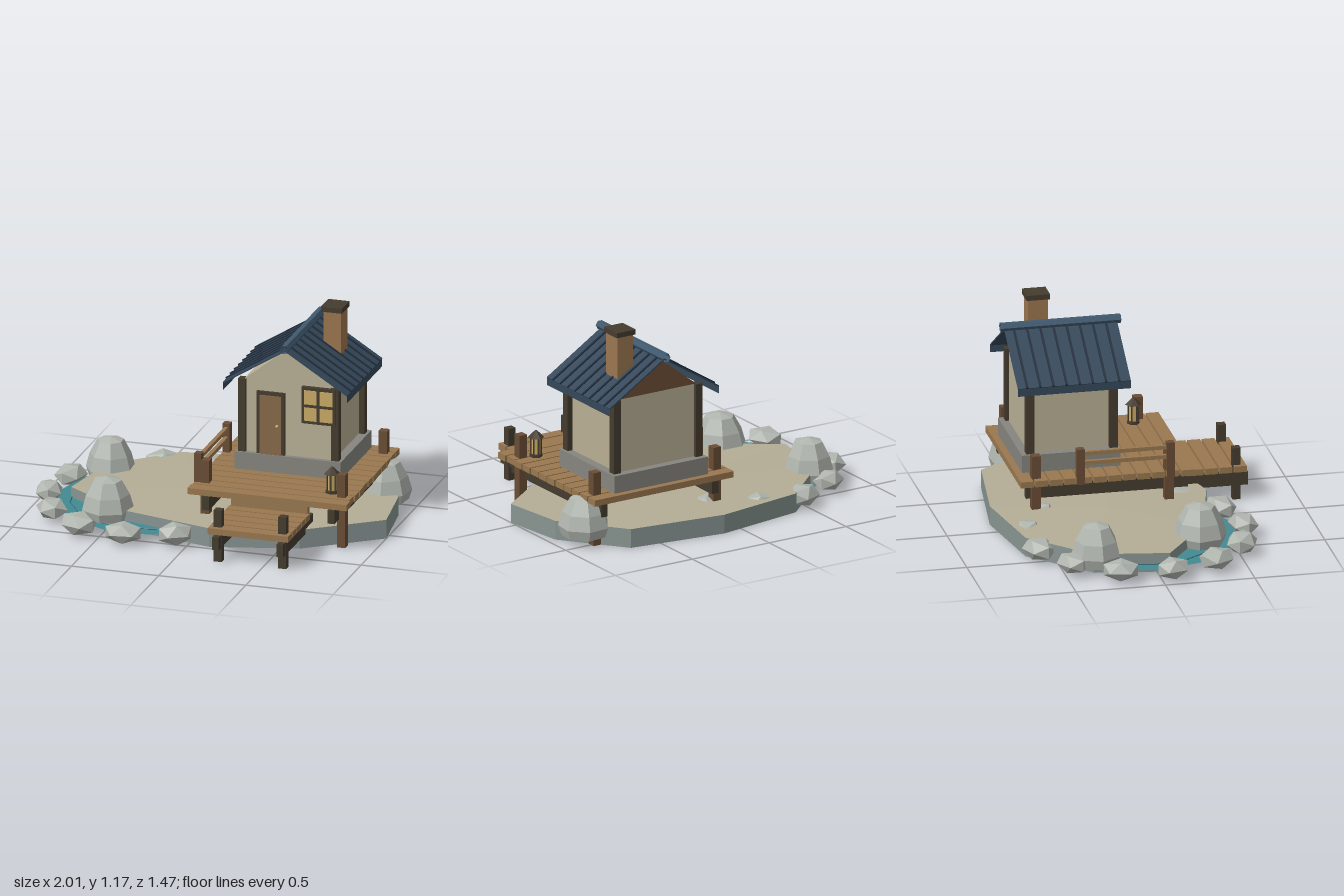
import * as THREE from 'three';

const mat = (color) => new THREE.MeshStandardMaterial({ color, flatShading: true, side: THREE.DoubleSide });
const M = {
  plank: mat(0x997850), post: mat(0x6a4d35), dark: mat(0x453c2f), wall: mat(0xb8af94),
  gable: mat(0x6f4e35), foundation: mat(0x86857e), roof: mat(0x35485a), rib: mat(0x222f3d),
  ridge: mat(0x40596f), brick: mat(0x9b7650), door: mat(0x86694a), glass: mat(0xc9aa66),
  rock: mat(0xb0b5ae), soil: mat(0x889592), grass: mat(0xb4ad96), water: mat(0x428a92), ripple: mat(0x35737a),
};

function rng(seed) {
  return () => (seed = (seed * 16807) % 2147483647) / 2147483647;
}

function add(parent, name, geometry, material, x = 0, y = 0, z = 0) {
  const mesh = new THREE.Mesh(geometry, material);
  mesh.name = name;
  mesh.position.set(x, y, z);
  parent.add(mesh);
  return mesh;
}

// Box given by its lower and upper limits on each axis
function box(parent, name, material, x0, x1, y0, y1, z0, z1) {
  return add(parent, name, new THREE.BoxGeometry(x1 - x0, y1 - y0, z1 - z0), material,
    (x0 + x1) / 2, (y0 + y1) / 2, (z0 + z1) / 2);
}

function group(parent, name) {
  const g = new THREE.Group();
  g.name = name;
  parent.add(g);
  return g;
}

function triangles(points) {
  const g = new THREE.BufferGeometry();
  g.setAttribute('position', new THREE.Float32BufferAttribute(points, 3));
  g.computeVertexNormals();
  return g;
}

// Ground: a low fan with a skirt, open underneath
function buildGround(root) {
  const g = group(root, 'ground');
  const rim = [[0.12, -0.735], [0.68, -0.66], [0.95, -0.32], [1, 0.05], [0.6, 0.35],
    [0.12, 0.475], [-0.42, 0.34], [-0.8, 0.07], [-0.73, -0.34], [-0.4, -0.65]];
  const top = [], skirt = [], h = 0.108;
  rim.forEach(([x, z], i) => {
    const [u, w] = rim[(i + 1) % rim.length];
    top.push(-0.06, 0.118, -0.12, u, h, w, x, h, z);
    skirt.push(x, 0, z, x, h, z, u, h, w, x, 0, z, u, h, w, u, 0, w);
  });
  add(g, 'groundTop', triangles(top), M.grass);
  add(g, 'groundSkirt', triangles(skirt), M.soil);
}

// Pond with a ripple and a ring of stones
function buildPond(root) {
  const g = group(root, 'pond');
  g.position.set(-0.34, 0, -0.015);
  const water = add(g, 'water', new THREE.CircleGeometry(0.55, 14), M.water, 0, 0.05, 0);
  const ripple = add(g, 'ripple', new THREE.TorusGeometry(0.472, 0.004, 4, 16), M.ripple, 0, 0.053, 0);
  water.rotation.x = ripple.rotation.x = -Math.PI / 2;
  const rand = rng(41);
  for (let i = 0; i < 13; i++) {
    const a = Math.PI / 2 + (i / 13) * Math.PI * 2;
    const s = add(g, 'pondStone', new THREE.IcosahedronGeometry(1, 0), M.rock,
      Math.cos(a) * 0.595, 0.07, Math.sin(a) * 0.595);
    s.scale.set(0.08 + rand() * 0.012, 0.058 + rand() * 0.008, 0.1 + rand() * 0.015);
    s.rotation.y = -a + (rand() - 0.5) * 0.5;
  }
}

function buildBoulders(root) {
  const profile = [[0, 0.042], [0.13, 0.045], [0.148, 0.1], [0.125, 0.18], [0.08, 0.26], [0, 0.28]]
    .map(([x, y]) => new THREE.Vector2(x, y));
  [[-0.7, -0.32, 0.93, 0.3], [-0.52, 0.3, 1, 0.9], [0.84, -0.44, 0.97, 0.1]].forEach(([x, z, s, turn]) => {
    const b = add(root, 'boulder', new THREE.LatheGeometry(profile, 7), M.rock, x, 0, z);
    b.scale.set(s, 1, s);
    b.rotation.y = turn;
  });
}

function buildDeck(root) {
  const g = group(root, 'deck');
  const rand = rng(7);
  for (let i = 0; i < 12; i++) {
    const z = 0.338 - i * 0.0815, trim = rand() * 0.008;
    box(g, 'deckPlank', M.plank, -0.037 + trim, 0.875 - trim, 0.255, 0.29, z - 0.036, z + 0.036);
  }
  for (const x of [0.06, 0.78]) box(g, 'deckBeam', M.dark, x - 0.02, x + 0.02, 0.165, 0.242, -0.55, 0.355);
  box(g, 'crossBeam', M.plank, 0.2, 0.64, 0.2, 0.25, 0.3, 0.335);
  for (const x of [0.03, 0.81]) for (const z of [-0.5, 0.243])
    box(g, 'deckPost', M.post, x - 0.024, x + 0.024, 0, 0.42, z - 0.025, z + 0.025);

  // Side railing
  for (const z of [-0.26, 0.243]) box(g, 'railPost', M.post, -0.033, 0.008, 0.25, 0.455, z - 0.022, z + 0.022);
  for (const y of [0.37, 0.425]) box(g, 'rail', M.plank, -0.022, 0, y - 0.011, y + 0.011, -0.26, 0.24);

  // Lower dock
  const d = group(root, 'dock');
  for (let i = 0; i < 5; i++) {
    const z = 0.682 - i * 0.081;
    box(d, 'dockPlank', M.plank, 0.19, 0.65, 0.165, 0.2, z - 0.035, z + 0.035);
  }
  for (const x of [0.238, 0.608]) {
    box(d, 'dockBeam', M.dark, x - 0.018, x + 0.018, 0.08, 0.155, 0.19, 0.73);
    box(d, 'dockPost', M.dark, x - 0.023, x + 0.023, 0, 0.298, 0.643, 0.688);
  }
}

function buildLantern(root) {
  const g = group(root, 'lantern');
  g.position.set(0.738, 0, 0.203);
  const tier = (name, m, r0, r1, y0, y1) =>
    add(g, name, new THREE.CylinderGeometry(r1, r0, y1 - y0, 6), m, 0, (y0 + y1) / 2, 0);
  tier('lanternBase', M.dark, 0.036, 0.036, 0.29, 0.306);
  tier('lanternGlass', M.glass, 0.025, 0.025, 0.306, 0.4);
  tier('lanternRoof', M.dark, 0.046, 0.006, 0.4, 0.44);
  for (let i = 0; i < 6; i++) {
    const a = (i / 6) * Math.PI * 2;
    add(g, 'lanternBar', new THREE.BoxGeometry(0.007, 0.095, 0.007), M.dark, Math.sin(a) * 0.027, 0.353, Math.cos(a) * 0.027);
  }
}

function buildHouse(root) {
  const g = group(root, 'house');
  g.position.x = 0.416;
  box(g, 'foundation', M.foundation, -0.304, 0.304, 0.285, 0.39, -0.557, -0.005);

  // Walls with the front gable, and the back gable board
  const outline = new THREE.Shape([[-0.255, 0.39], [0.255, 0.39], [0.255, 0.81], [0, 1.012], [-0.255, 0.81]]
    .map(([x, y]) => new THREE.Vector2(x, y)));
  add(g, 'walls', new THREE.ExtrudeGeometry(outline, { depth: 0.48, bevelEnabled: false }), M.wall, 0, 0, -0.51);
  add(g, 'backGable', triangles([0.255, 0.81, -0.514, -0.255, 0.81, -0.514, 0, 1.012, -0.514]), M.gable);
  for (const x of [-0.266, 0.266]) for (const z of [-0.506, -0.04])
    box(g, 'cornerPost', M.dark, x - 0.022, x + 0.022, 0.39, 0.81, z - 0.023, z + 0.023);

  // Door
  box(g, 'doorFrame', M.dark, -0.181, -0.021, 0.388, 0.75, -0.03, -0.015);
  box(g, 'door', M.door, -0.162, -0.04, 0.39, 0.73, -0.03, -0.009);
  add(g, 'doorKnob', new THREE.IcosahedronGeometry(0.01, 1), M.glass, -0.06, 0.56, -0.003);

  // Window: frame, glass and crossing bars
  box(g, 'windowFrame', M.dark, 0.08, 0.274, 0.595, 0.805, -0.03, -0.006);
  box(g, 'windowGlass', M.glass, 0.096, 0.258, 0.612, 0.788, -0.03, -0.002);
  box(g, 'windowBar', M.dark, 0.17, 0.184, 0.605, 0.795, -0.03, 0.005);
  box(g, 'windowBar', M.dark, 0.09, 0.264, 0.693, 0.707, -0.03, 0.005);

  // Roof slopes, eave skirts and standing ribs
  const pitch = Math.atan2(0.222, 0.355), length = Math.hypot(0.222, 0.355);
  for (const side of [-1, 1]) {
    const slope = group(g, 'roofSlope');
    slope.position.set(side * 0.1775, 0.909, 0);
    slope.rotation.z = -side * pitch;
    box(slope, 'roofPanel', M.roof, -length / 2, length / 2, -0.004, 0.004, -0.59, 0.04);
    for (let i = 0; i < 8; i++) {
      const z = -0.024 - i * 0.0735;
      box(slope, 'roofRib', M.rib, -length / 2, length / 2, 0, 0.011, z - 0.006, z + 0.006);
    }
    const skirt = add(g, 'eaveSkirt', new THREE.PlaneGeometry(0.63, 0.045), M.roof, side * 0.355, 0.7775, -0.275);
    skirt.rotation.y = side * Math.PI / 2;
  }

  // Six-sided ridge tube with open ends
  const ridge = new THREE.CylinderGeometry(0.026, 0.026, 0.672, 6, 1, true).rotateY(Math.PI / 2).rotateX(Math.PI / 2);
  add(g, 'ridgeCap', ridge, M.ridge, 0, 1.032, -0.276);

  // Chimney
  box(g, 'chimney', M.brick, 0.103, 0.205, 0.83, 1.14, -0.434, -0.322);
  box(g, 'chimneyCap', M.dark, 0.092, 0.214, 1.138, 1.167, -0.444, -0.312);
}

export function createModel() {
  const root = new THREE.Group();
  root.name = 'pondCabin';
  buildGround(root);
  buildPond(root);
  buildBoulders(root);
  buildDeck(root);
  buildLantern(root);
  buildHouse(root);
  return root;
}
